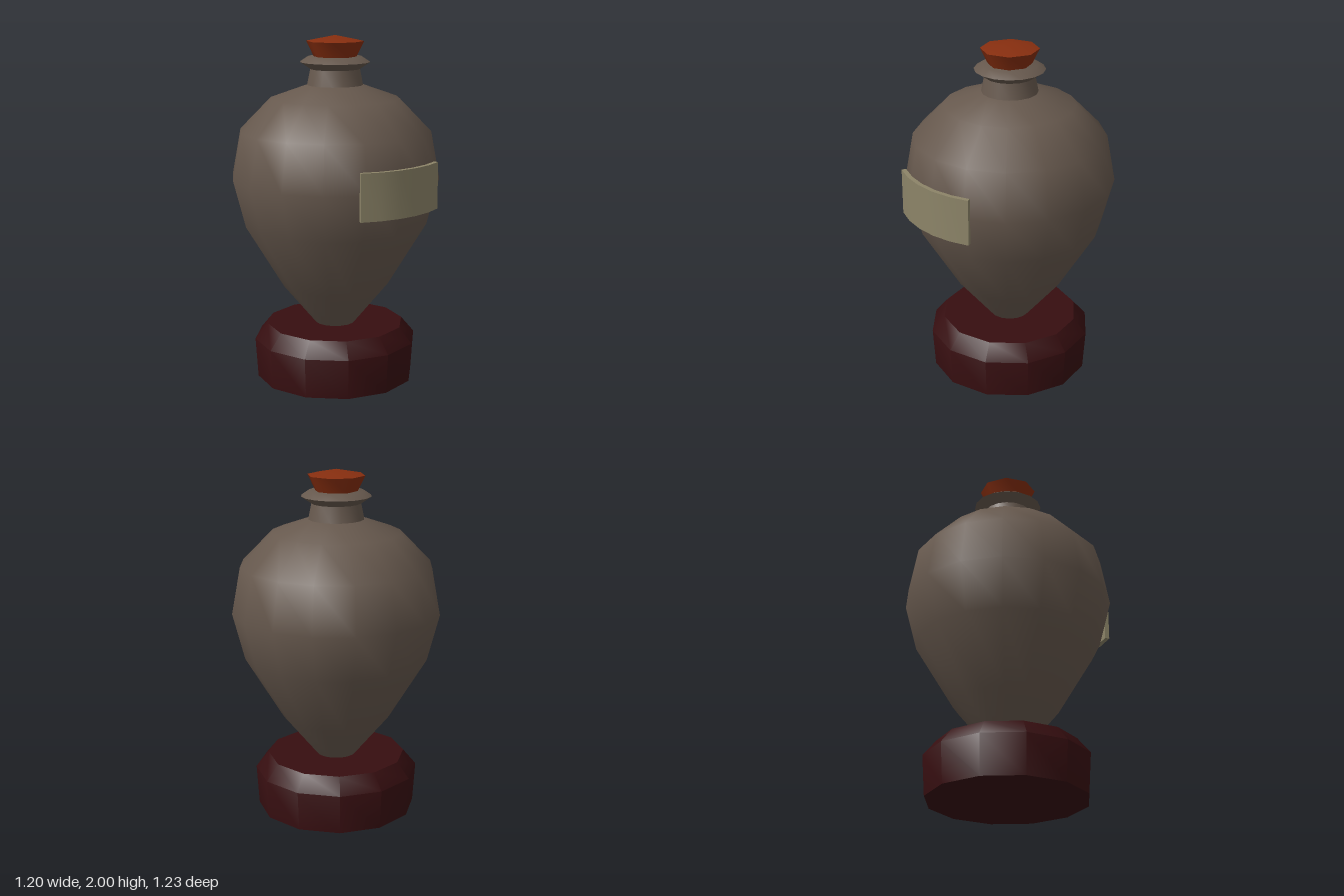
import * as THREE from 'three';
import { toCreasedNormals } from 'three/addons/utils/BufferGeometryUtils.js';

const CENTER_Z = -0.015;
const rad = THREE.MathUtils.degToRad;

function material(name, color) {
  const m = new THREE.MeshStandardMaterial({ color });
  m.name = name;
  return m;
}

// Turned part: profile of [radius, y] points from bottom to top
function turned(name, profile, sides, crease, mat) {
  const points = profile.map(([r, y]) => new THREE.Vector2(r, y));
  const geometry = toCreasedNormals(new THREE.LatheGeometry(points, sides), rad(crease));
  const mesh = new THREE.Mesh(geometry, mat);
  mesh.name = name;
  mesh.position.z = CENTER_Z;
  return mesh;
}

// Curved plate wrapped around the front of the bottle
function curvedLabel(outer, inner, halfAngle, y0, y1, mat) {
  const steps = 5;
  const shape = new THREE.Shape();
  const at = (r, a) => [r * Math.sin(a), -r * Math.cos(a)];
  for (let i = 0; i <= steps; i++) {
    const p = at(outer, -halfAngle + (2 * halfAngle * i) / steps);
    if (i === 0) shape.moveTo(...p);
    else shape.lineTo(...p);
  }
  for (let i = steps; i >= 0; i--) {
    shape.lineTo(...at(inner, -halfAngle + (2 * halfAngle * i) / steps));
  }
  shape.closePath();
  const extruded = new THREE.ExtrudeGeometry(shape, { depth: y1 - y0, bevelEnabled: false });
  extruded.rotateX(-Math.PI / 2);
  const mesh = new THREE.Mesh(toCreasedNormals(extruded, rad(30)), mat);
  mesh.name = 'label';
  mesh.position.set(0, y0, CENTER_Z);
  return mesh;
}

export function createModel() {
  const clay = material('brown clay', 0x66584d);
  const wood = material('dark red wood', 0x360e10);
  const cork = material('rust cork', 0x872e0f);
  const paper = material('aged paper', 0x8c8468);

  const model = new THREE.Group();
  model.name = 'corkedBottle';

  // Stand with a chamfered top rim
  model.add(turned('stand',
    [[0, 0], [0.46, 0], [0.475, 0.23], [0.4, 0.32], [0, 0.32]], 12, 47, wood));

  // Bottle body, tapering down into the stand
  model.add(turned('bottleBody',
    [[0, 0.3], [0.1, 0.3], [0.31, 0.555], [0.53, 0.92], [0.6, 1.19],
      [0.55, 1.46], [0.37, 1.645], [0.16, 1.72]], 16, 40, clay));

  // Neck and flared lip
  model.add(turned('bottleNeck',
    [[0.16, 1.72], [0.142, 1.81], [0.2, 1.85], [0.155, 1.88], [0, 1.88]], 16, 40, clay));

  // Stopper with a slightly raised top
  model.add(turned('stopper',
    [[0, 1.875], [0.12, 1.875], [0.165, 1.967], [0, 2]], 8, 50, cork));

  model.add(curvedLabel(0.628, 0.602, 0.463, 1.055, 1.32, paper));

  return model;
}
